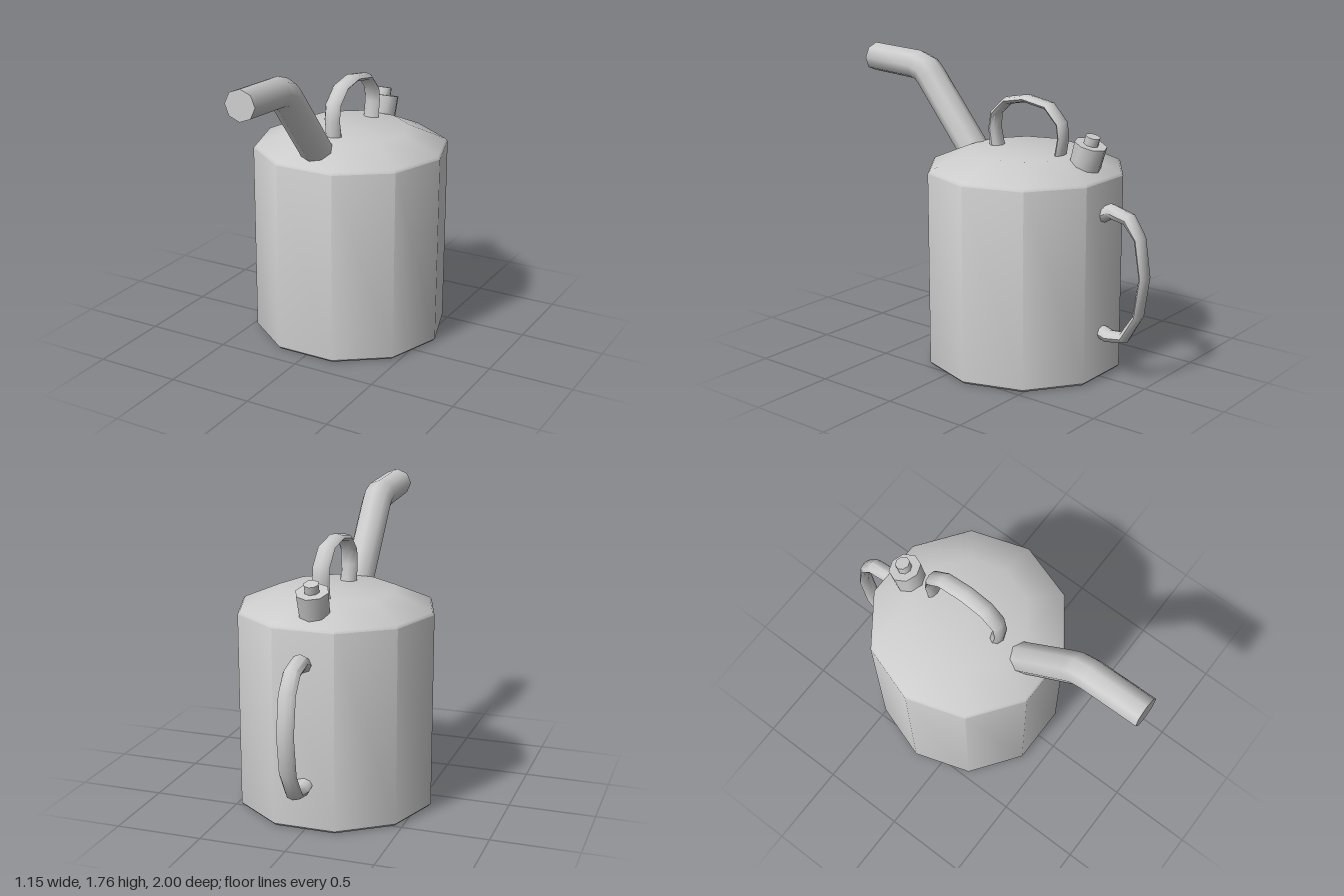
import * as THREE from 'three';
import { toCreasedNormals } from 'three/addons/utils/BufferGeometryUtils.js';

const material = new THREE.MeshStandardMaterial({ color: 0xcccccc });

function part(name, geometry, crease) {
  const mesh = new THREE.Mesh(toCreasedNormals(geometry, crease), material);
  mesh.name = name;
  return mesh;
}

// Sweeps an eight-sided section along a path in the x = 0 plane.
// Each path point is [z, y, halfThickness]; halfWidth runs along x.
function sweep(path, halfWidth, sides = 8) {
  const pos = [], index = [];
  const pts = path.map(([z, y]) => new THREE.Vector2(z, y));
  const last = pts.length - 1;
  const dir = (i) => pts[i + 1].clone().sub(pts[i]).normalize();
  pts.forEach((p, i) => {
    const before = dir(Math.max(i - 1, 0)), after = dir(Math.min(i, last - 1));
    const t = before.clone().add(after).normalize();
    const h = path[i][2] / t.dot(after); // mitred joint
    for (let j = 0; j < sides; j++) {
      const a = (j / sides) * Math.PI * 2, s = Math.sin(a) * h;
      pos.push(Math.cos(a) * halfWidth, p.y + t.x * s, p.x - t.y * s);
    }
  });
  for (let i = 0; i < last; i++) {
    for (let j = 0; j < sides; j++) {
      const a = i * sides + j, b = i * sides + (j + 1) % sides;
      index.push(a, b, b + sides, a, b + sides, a + sides);
    }
  }
  // End caps
  const e = last * sides;
  for (let j = 1; j < sides - 1; j++) index.push(0, j + 1, j, e, e + j, e + j + 1);
  const g = new THREE.BufferGeometry();
  g.setAttribute('position', new THREE.Float32BufferAttribute(pos, 3));
  g.setIndex(index);
  return g;
}

export function createModel() {
  const model = new THREE.Group();
  model.name = 'oilCan';

  // Ten-sided can with bevelled rims and a sloping shoulder
  const profile = [
    [0, 0], [0.56, 0], [0.575, 0.015], [0.575, 1.145], [0.563, 1.16], [0.345, 1.253], [0, 1.253],
  ].map(([r, y]) => new THREE.Vector2(r, y));
  const body = part('body', new THREE.LatheGeometry(profile, 10, Math.PI / 2), 0.7);
  body.position.z = -0.163;
  model.add(body);

  // Bent spout
  model.add(part('spout', sweep([
    [0.19, 1.16, 0.09], [0.55, 1.6, 0.088], [0.585, 1.635, 0.088],
    [0.65, 1.657, 0.088], [0.997, 1.675, 0.086],
  ], 0.092), 0.9));

  // Carrying handle on top
  model.add(part('topHandle', sweep([
    [0.04, 1.22, 0.042], [0.062, 1.35, 0.03], [0.05, 1.44, 0.024], [-0.035, 1.52, 0.022],
    [-0.17, 1.546, 0.022], [-0.325, 1.52, 0.022], [-0.412, 1.43, 0.022],
    [-0.423, 1.35, 0.022], [-0.4, 1.22, 0.024],
  ], 0.05), 0.9));

  // Pouring handle at the back
  model.add(part('backHandle', sweep([
    [-0.68, 0.945, 0.042], [-0.755, 0.985, 0.042], [-0.87, 0.958, 0.036], [-0.943, 0.86, 0.024],
    [-0.978, 0.645, 0.022], [-0.945, 0.415, 0.022], [-0.858, 0.273, 0.03],
    [-0.755, 0.257, 0.036], [-0.68, 0.28, 0.036],
  ], 0.05), 0.9));

  // Tilted filler neck with a small knob
  const filler = new THREE.Group();
  filler.name = 'filler';
  const neck = part('fillerNeck', new THREE.CylinderGeometry(0.094, 0.088, 0.22, 8), 0.9);
  neck.position.y = -0.11;
  const knob = part('fillerKnob', new THREE.CylinderGeometry(0.043, 0.043, 0.06, 8), 0.9);
  knob.position.y = 0.017;
  filler.add(neck, knob);
  filler.position.set(-0.015, 1.337, -0.6);
  filler.rotation.x = -0.28;
  model.add(filler);

  return model;
}
